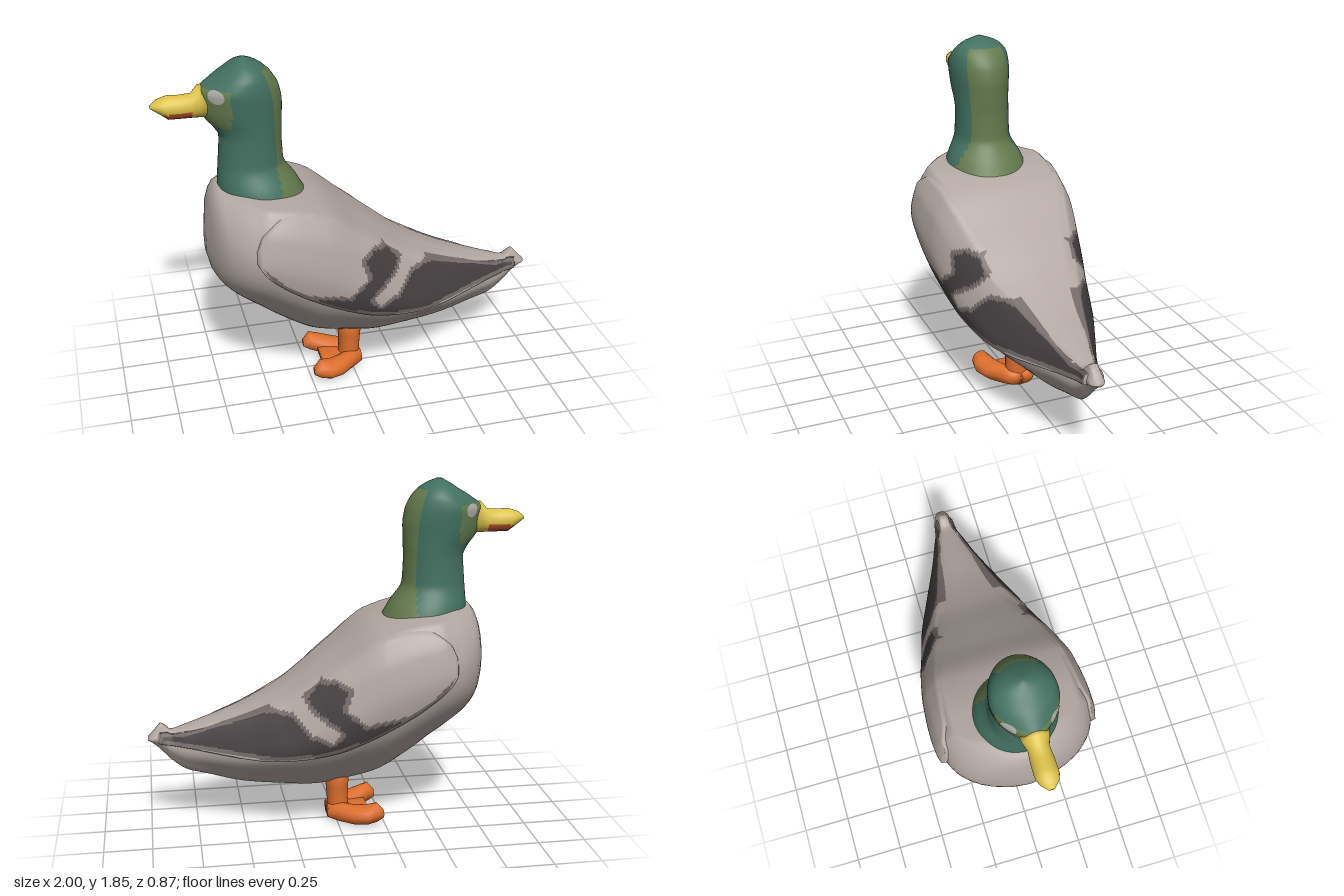
import * as THREE from 'three';

const paint = (name, color, side = THREE.FrontSide) => {
  const m = new THREE.MeshStandardMaterial({ color, side });
  m.name = name;
  return m;
};

// Smooth monotone interpolation through rows of [position, value, value...]
function curve(rows) {
  const n = rows.length;
  const slope = (i, c) => (rows[i + 1][c] - rows[i][c]) / (rows[i + 1][0] - rows[i][0]);
  const tangent = (i, c) => {
    if (i === 0) return slope(0, c);
    if (i === n - 1) return slope(n - 2, c);
    const a = slope(i - 1, c), b = slope(i, c);
    return a * b > 0 ? (2 * a * b) / (a + b) : 0;
  };
  return (p) => {
    p = THREE.MathUtils.clamp(p, rows[0][0], rows[n - 1][0]);
    let i = 0;
    while (i < n - 2 && p > rows[i + 1][0]) i++;
    const h = rows[i + 1][0] - rows[i][0], s = (p - rows[i][0]) / h;
    return rows[i].slice(1).map((v, k) => {
      const c = k + 1, s2 = s * s, s3 = s2 * s;
      return v * (2 * s3 - 3 * s2 + 1) + tangent(i, c) * h * (s3 - 2 * s2 + s)
        + rows[i + 1][c] * (3 * s2 - 2 * s3) + tangent(i + 1, c) * h * (s3 - s2);
    });
  };
}

// Skin over rows of points; pick(x, y, z) chooses the material of each face
function skin(name, rings, closed, mats, pick = () => 0) {
  if (closed) {
    const cap = (r) => {
      const c = [0, 1, 2].map((k) => r.reduce((s, p) => s + p[k], 0) / r.length);
      return r.map(() => c);
    };
    rings = [cap(rings[0]), ...rings, cap(rings[rings.length - 1])];
  }
  const m = rings[0].length, pts = rings.flat(), bins = mats.map(() => []);
  for (let i = 0; i < rings.length - 1; i++) {
    for (let j = 0; j < (closed ? m : m - 1); j++) {
      const k = (j + 1) % m;
      const q = [i * m + j, (i + 1) * m + j, (i + 1) * m + k, i * m + k];
      const mid = [0, 1, 2].map((c) => q.reduce((s, v) => s + pts[v][c] / 4, 0));
      bins[pick(...mid)].push(q[0], q[1], q[2], q[0], q[2], q[3]);
    }
  }
  const g = new THREE.BufferGeometry();
  g.setAttribute('position', new THREE.Float32BufferAttribute(pts.flat(), 3));
  g.setIndex(bins.flat());
  let start = 0;
  bins.forEach((b, i) => { g.addGroup(start, b.length, i); start += b.length; });
  g.computeVertexNormals();
  const mesh = new THREE.Mesh(g, mats.length > 1 ? mats : mats[0]);
  mesh.name = name;
  return mesh;
}

const range = (n, f) => Array.from({ length: n + 1 }, (_, i) => f(i / n));
const lerp = THREE.MathUtils.lerp;
const unit = (v) => THREE.MathUtils.clamp(v, 0, 1);

// Body stations: x, bottom, top, half width
const body = curve([
  [-0.775, 0.82, 0.95, 0.05], [-0.75, 0.72, 1.13, 0.17], [-0.7, 0.645, 1.2, 0.28],
  [-0.6, 0.545, 1.205, 0.375], [-0.5, 0.455, 1.19, 0.407], [-0.4, 0.38, 1.18, 0.412],
  [-0.2, 0.265, 1.125, 0.4], [0, 0.225, 0.985, 0.368], [0.12, 0.21, 0.9, 0.335],
  [0.3, 0.225, 0.775, 0.283], [0.5, 0.25, 0.68, 0.2], [0.7, 0.305, 0.615, 0.115],
  [0.8, 0.335, 0.585, 0.08], [0.88, 0.395, 0.565, 0.055], [0.93, 0.45, 0.605, 0.055],
  [0.97, 0.49, 0.56, 0.055], [1, 0.51, 0.53, 0.03],
]);
const breast = curve([[0, 0], [0.02, 0.12], [0.17, 0.5], [0.3, 0.78], [0.45, 0.94], [0.62, 1],
  [0.8, 0.96], [0.92, 0.86], [0.98, 0.77], [1, 0]]);
const rump = curve([[0, 0], [0.02, 0.12], [0.2, 0.55], [0.4, 0.94], [0.5, 1], [0.7, 0.92],
  [0.9, 0.76], [0.97, 0.62], [1, 0]]);

// Half width of the body at a given x and y
function bodySide(x, y) {
  const [lo, hi, w] = body(x), t = unit((y - lo) / (hi - lo));
  const f = lerp(breast(t)[0], rump(t)[0], unit((x + 0.2) / 0.5));
  const tailTaper = lerp(1, 1 - 0.5 * t, unit((x - 0.85) / 0.08));
  return w * tailTaper * lerp(f, 2 * Math.sqrt(t * (1 - t)), unit((-0.5 - x) / 0.2));
}

// Neck and head levels: y, front x, back x, half width, front taper
const head = curve([
  [1.1, -0.7, -0.23, 0.24, 0], [1.2, -0.695, -0.285, 0.205, 0], [1.32, -0.685, -0.355, 0.15, 0],
  [1.46, -0.675, -0.36, 0.145, 0], [1.51, -0.7, -0.357, 0.147, 0.15], [1.56, -0.74, -0.355, 0.152, 0.3],
  [1.62, -0.768, -0.353, 0.158, 0.4], [1.7, -0.775, -0.365, 0.163, 0.4], [1.76, -0.71, -0.395, 0.152, 0.3],
  [1.8, -0.645, -0.43, 0.125, 0.1], [1.83, -0.6, -0.475, 0.085, 0], [1.855, -0.555, -0.525, 0.015, 0],
]);
function headSide(x, y) {
  const [a, b, w, k] = head(y), u = THREE.MathUtils.clamp((2 * x - a - b) / (b - a), -1, 1);
  return w * Math.sqrt(1 - u * u) * (u < 0 ? 1 - k * u * u : 1);
}

// Wing stations: x, lower edge, upper edge
const wing = curve([
  [-0.575, 0.93, 0.97], [-0.53, 0.85, 1.07], [-0.4, 0.73, 1.145], [-0.25, 0.63, 1.13],
  [-0.1, 0.55, 1.05], [0.05, 0.49, 0.94], [0.2, 0.46, 0.81], [0.4, 0.445, 0.715],
  [0.6, 0.46, 0.635], [0.8, 0.485, 0.57], [0.95, 0.5, 0.56],
]);

// Dark feather marking, in side view
const marking = [[-0.55, 0.91], [-0.44, 0.8], [-0.3, 0.71], [-0.1, 0.67], [0.0, 0.75], [-0.04, 0.85],
  [0.04, 0.89], [0.14, 0.88], [0.21, 0.79], [0.17, 0.72], [0.03, 0.62], [0.07, 0.57], [0.17, 0.61],
  [0.26, 0.71], [0.38, 0.722], [0.6, 0.64], [0.82, 0.565], [0.94, 0.56], [0.94, 0.5], [0.6, 0.475],
  [0.35, 0.46], [0.1, 0.49], [-0.1, 0.56], [-0.3, 0.66], [-0.46, 0.76]];
function featherTone(x, y) {
  let inside = false, near = 1;
  marking.forEach(([ax, ay], i) => {
    const [bx, by] = marking[(i + 1) % marking.length];
    if ((ay > y) !== (by > y) && x < ax + ((y - ay) * (bx - ax)) / (by - ay)) inside = !inside;
    const s = unit(((x - ax) * (bx - ax) + (y - ay) * (by - ay)) / ((bx - ax) ** 2 + (by - ay) ** 2));
    near = Math.min(near, Math.hypot(x - lerp(ax, bx, s), y - lerp(ay, by, s)));
  });
  return inside ? (near < 0.022 ? 1 : 2) : 0;
}

// Oval tube along x; rows of x, centre y, centre z, half height, half depth
const tube = (name, rows, mats, sides, pick) => skin(name, rows.map(([x, y, z, h, d]) =>
  range(sides - 1, (s) => s * (sides - 1) / sides * Math.PI * 2)
    .map((a) => [x, y + h * Math.sin(a), z + d * Math.cos(a)])), true, mats, pick);

export function createModel() {
  const duck = new THREE.Group();
  duck.name = 'duck';
  const grey = paint('plumage grey', 0xb3a8a3), green = paint('head green', 0x427060);
  const olive = paint('nape olive', 0x637a4e), yellow = paint('bill yellow', 0xdcc24a);
  const rust = paint('lower bill rust', 0xb9512a), orange = paint('leg orange', 0xdd6e2c);
  const dark = paint('feather dark', 0x443e3f), brown = paint('feather edge', 0x736a69);
  const pale = paint('eye pale', 0xaaa8a2, THREE.DoubleSide);

  // Body with tail
  const heights = range(22, (s) => (1 - Math.cos(s * Math.PI)) / 2);
  duck.add(skin('body', range(80, (s) => {
    const x = lerp(-0.775, 1, s), [lo, hi] = body(x);
    const half = heights.map((t) => [x, lerp(lo, hi, t), bodySide(x, lerp(lo, hi, t))]);
    return [...half, ...half.slice(1, -1).reverse().map(([px, y, z]) => [px, y, -z])];
  }), true, [grey]));

  // Neck and head, olive on the nape and around the bill
  duck.add(skin('neckAndHead', range(60, (s) => {
    const y = lerp(1.1, 1.855, s), [a, b] = head(y);
    return range(63, (q) => q * 63 / 64 * Math.PI * 2).map((t) => {
      const x = (a + b) / 2 + (b - a) / 2 * Math.cos(t);
      return [x, y, Math.sign(Math.sin(t)) * headSide(x, y)];
    });
  }), true, [green, olive], (x, y) => {
    const [a, b] = head(y), u = (2 * x - a - b) / (b - a);
    const nape = y < 1.8 && u > lerp(0.4, 0.7, unit((y - 1.17) / 0.15));
    return nape || (x < -0.625 && y > 1.53 && y < 1.73) ? 1 : 0;
  }));

  // Bill, rust along the lower half
  duck.add(tube('bill', [[-1, 1.64, 0, 0.008, 0.015], [-0.97, 1.642, 0, 0.03, 0.043],
    [-0.94, 1.636, 0, 0.046, 0.056], [-0.915, 1.63, 0, 0.06, 0.058], [-0.86, 1.628, 0, 0.059, 0.057],
    [-0.8, 1.63, 0, 0.062, 0.052], [-0.765, 1.65, 0, 0.082, 0.066], [-0.73, 1.65, 0, 0.085, 0.072]],
  [yellow, rust], 24, (x, y) => (x > -0.96 && x < -0.8 && y < 1.608 ? 1 : 0)));

  // Leg column under the belly
  duck.add(skin('legs', [[0.01, -0.02, 0.06, 0.06], [0.06, -0.012, 0.06, 0.07], [0.12, -0.01, 0.058, 0.068],
    [0.2, -0.008, 0.062, 0.07], [0.32, -0.005, 0.075, 0.085]].map(([y, cx, rx, rz]) =>
    range(15, (s) => s * 15 / 16 * Math.PI * 2)
      .map((a) => [cx + rx * Math.cos(a), y, rz * Math.sin(a)])), true, [orange]));

  // Web joining the feet
  duck.add(tube('footWeb', [[-0.17, 0.055, 0, 0.02, 0.11], [-0.1, 0.045, 0, 0.038, 0.12],
    [-0.02, 0.047, 0, 0.045, 0.095], [0.045, 0.05, 0, 0.032, 0.06]], [orange], 14));

  for (const s of [1, -1]) {
    const side = s > 0 ? 'left' : 'right';

    // Folded wing, fuller toward its lower edge, its rim tucked into the body
    const rows = range(110, (u) => {
      const x = lerp(-0.575, 0.95, u), [lo, hi] = wing(x), top = Math.min(hi, body(x)[1] - 0.012);
      return range(32, (v) => {
        const y = lerp(lo, top, v), rim = u === 0 || u === 1 || v === 0 || v === 1;
        const lift = lerp(0.026, 0.012, v) * lerp(1, 0.6, unit((x - 0.5) / 0.4));
        return [x, y, s * (bodySide(x, y) + (rim ? -0.012 : lift))];
      });
    });
    duck.add(skin(side + 'Wing', s > 0 ? rows : rows.reverse(), false, [grey, brown, dark], featherTone));

    // Eye
    duck.add(skin(side + 'Eye', range(14, (u) => {
      const c = -Math.cos(u * Math.PI), x = -0.692 + 0.037 * c, h = 0.034 * Math.sqrt(Math.max(0, 1 - c * c));
      return range(6, (v) => {
        const y = 1.7 + lerp(-h, h, v);
        return [x, y, s * (headSide(x, y) + 0.005)];
      });
    }), false, [pale]));

    // Splayed foot with upturned toe
    duck.add(tube(side + 'Foot', [[-0.24, 0.068, s * 0.145, 0.022, 0.025], [-0.205, 0.078, s * 0.145, 0.053, 0.05],
      [-0.15, 0.062, s * 0.135, 0.052, 0.065], [-0.08, 0.054, s * 0.1, 0.052, 0.07],
      [0, 0.058, s * 0.05, 0.054, 0.055], [0.05, 0.055, s * 0.03, 0.035, 0.04]], [orange], 12));
  }
  return duck;
}
